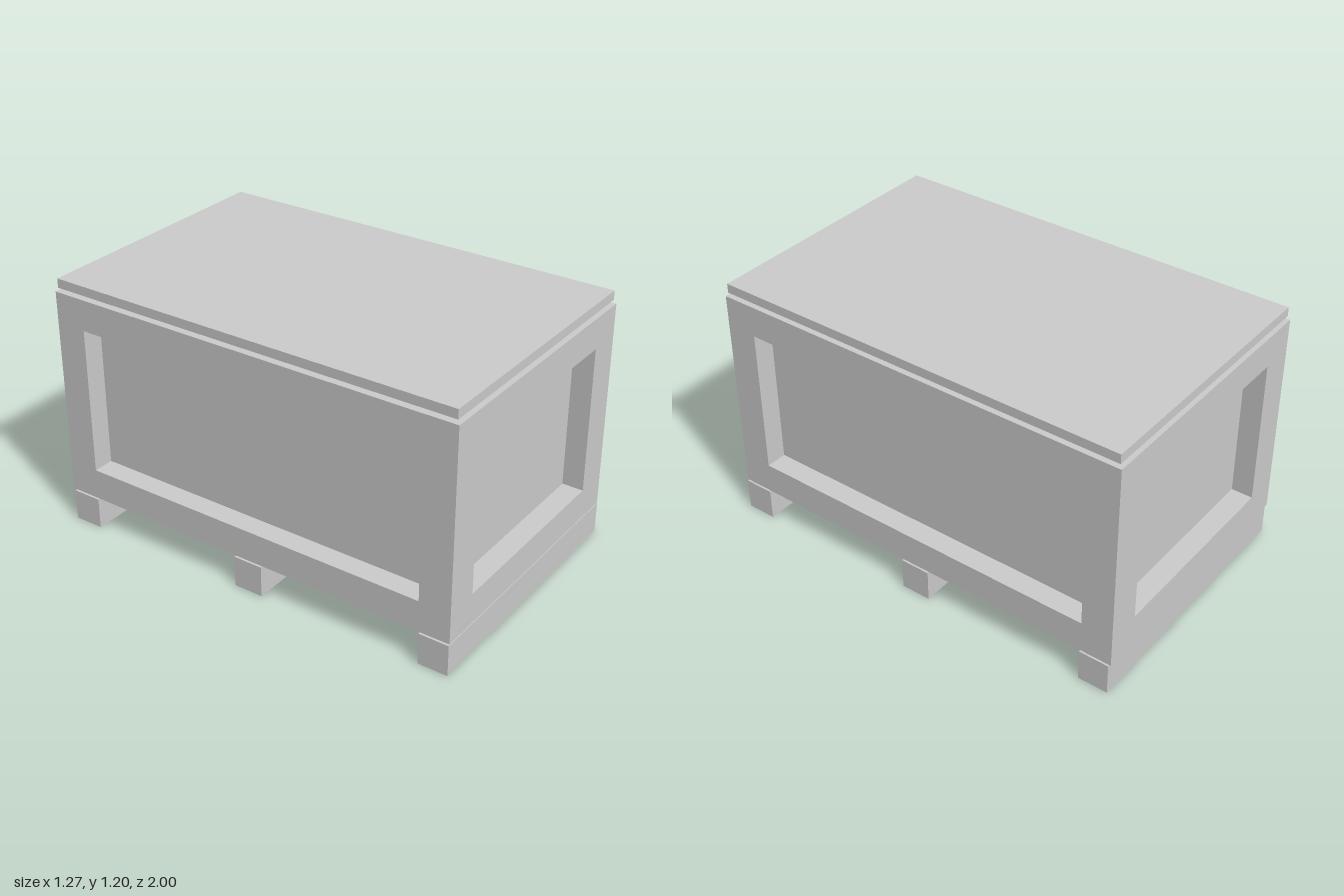
import * as THREE from 'three';

const W = 0.632, L = 1.0, Y0 = 0.153, Y1 = 1.135; // body half width, half length, base, top
const H = (Y1 - Y0) / 2, MID = (Y0 + Y1) / 2;
const DEPTH = 0.1;

// Framed wall facing +z: rectangular loops for outer edge, opening and sunken panel
function recessedWall(halfW, halfH, borderX, borderY) {
  const loop = (w, h, z) => [[-w, -h, z], [w, -h, z], [w, h, z], [-w, h, z]];
  const w = halfW - borderX, h = halfH - borderY;
  const loops = [loop(halfW, halfH, 0), loop(w, h, 0), loop(w, h, -DEPTH)];
  const pos = [];
  const quad = (a, b, c, d) => pos.push(...a, ...b, ...c, ...a, ...c, ...d);
  for (let k = 0; k < 2; k++) {
    for (let i = 0; i < 4; i++) {
      const j = (i + 1) % 4;
      quad(loops[k][i], loops[k][j], loops[k + 1][j], loops[k + 1][i]);
    }
  }
  quad(...loops[2]);
  const geo = new THREE.BufferGeometry();
  geo.setAttribute('position', new THREE.Float32BufferAttribute(pos, 3));
  geo.computeVertexNormals();
  return geo;
}

// Box with its underside left open
function openBottomBox(w, h, d) {
  const geo = new THREE.BoxGeometry(w, h, d);
  const index = Array.from(geo.index.array);
  index.splice(18, 6);
  geo.setIndex(index);
  geo.clearGroups();
  return geo;
}

export function createModel() {
  const model = new THREE.Group();
  model.name = 'crate';
  const grey = new THREE.MeshStandardMaterial({ color: 0xcccccc, side: THREE.DoubleSide });
  grey.name = 'grey';

  const add = (name, geo, x, y, z, parent = model) => {
    const mesh = new THREE.Mesh(geo, grey);
    mesh.name = name;
    mesh.position.set(x, y, z);
    parent.add(mesh);
    return mesh;
  };

  // Body: four walls with sunken panels, closed above and below
  const body = new THREE.Group();
  body.name = 'body';
  model.add(body);
  const endWall = recessedWall(W, H, 0.162, 0.146);
  const sideWall = recessedWall(L, H, 0.147, 0.146);
  add('frontWall', endWall, 0, MID, L, body);
  add('backWall', endWall, 0, MID, -L, body).rotation.y = Math.PI;
  add('leftWall', sideWall, W, MID, 0, body).rotation.y = Math.PI / 2;
  add('rightWall', sideWall, -W, MID, 0, body).rotation.y = -Math.PI / 2;
  const deck = new THREE.PlaneGeometry(2 * W, 2 * L);
  add('bodyTop', deck, 0, Y1, 0, body).rotation.x = -Math.PI / 2;
  add('bodyBottom', deck, 0, Y0, 0, body).rotation.x = Math.PI / 2;

  // Lid, floating just above the body
  add('lid', new THREE.BoxGeometry(1.25, 0.043, 1.98), 0, 1.174, 0);

  // Three hollow skids running across
  const skid = openBottomBox(1.272, 0.147, 0.141);
  [['frontSkid', 0.929], ['middleSkid', 0.004], ['backSkid', -0.92]].forEach(([name, z]) =>
    add(name, skid, 0, 0.0735, z));

  return model;
}
